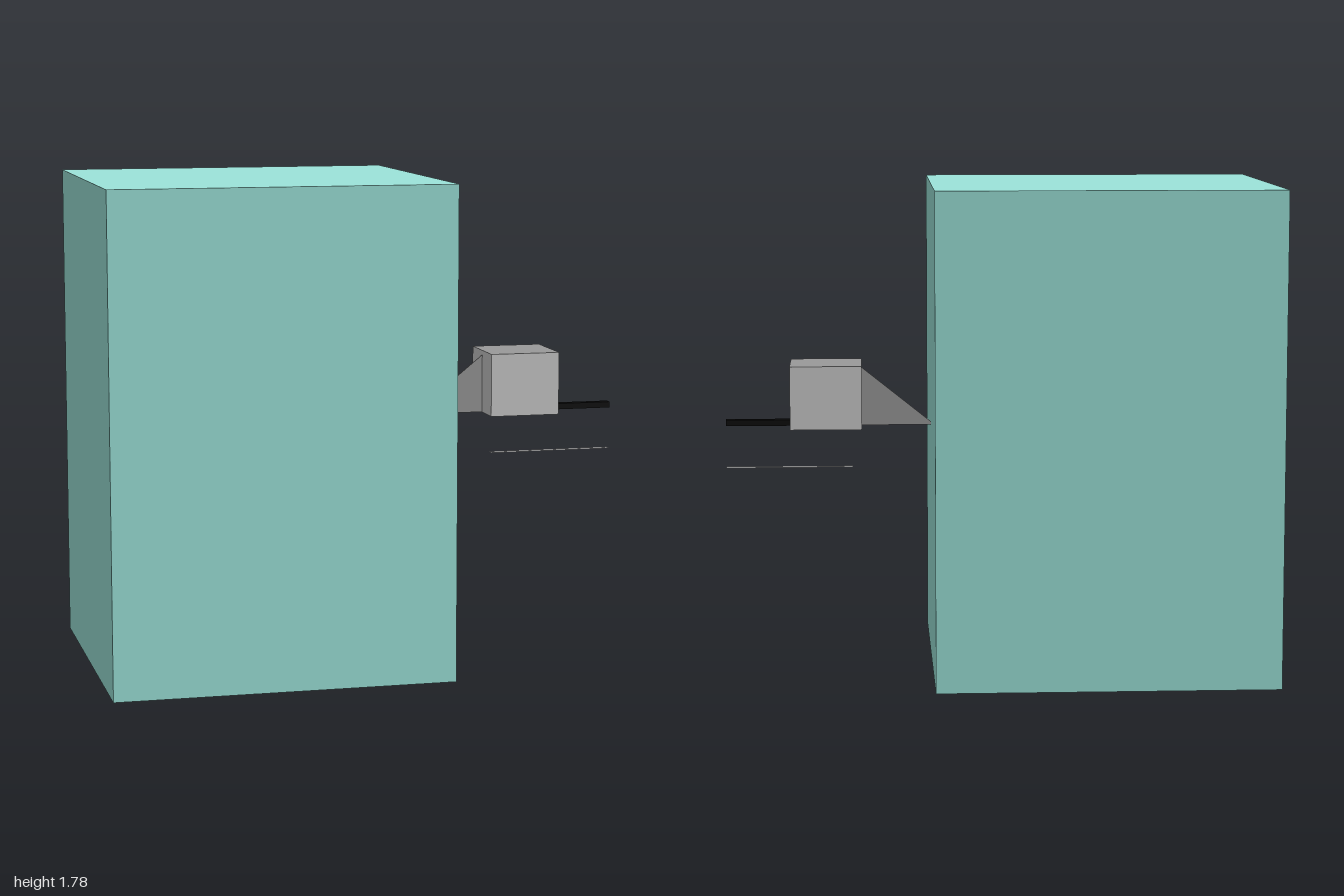
import * as THREE from 'three';

const GREY = 0xcccccc, DARK_GREY = 0x9a9a9a, TEAL = 0x9ce4da, BLACK = 0x0b0b0b;

const mat = (color, side = THREE.FrontSide) => new THREE.MeshStandardMaterial({ color, side });

// Box given by its lower and upper corners
function box(name, [x0, y0, z0], [x1, y1, z1], material) {
  const mesh = new THREE.Mesh(new THREE.BoxGeometry(x1 - x0, y1 - y0, z1 - z0), material);
  mesh.position.set((x0 + x1) / 2, (y0 + y1) / 2, (z0 + z1) / 2);
  mesh.name = name;
  return mesh;
}

export function createModel() {
  const model = new THREE.Group();

  // Large upright block
  model.add(box('body', [-1, 0, -0.577], [0.24, 1.785, 0.577], mat(TEAL)));

  // Small housing with a darker top face (fourth-from-last material slot is +y)
  const side = mat(GREY), top = mat(DARK_GREY);
  model.add(box('housing', [0.497, 0.886, -0.126], [0.76, 1.12, 0.126],
    [side, side, top, side, side, side]));

  // Thin triangular bracket joining the housing to the body
  const triangle = new THREE.Shape([
    new THREE.Vector2(0.24, 0.886),
    new THREE.Vector2(0.5, 0.886),
    new THREE.Vector2(0.5, 1.105),
    new THREE.Vector2(0.24, 0.897),
  ]);
  const bracket = new THREE.Mesh(
    new THREE.ExtrudeGeometry(triangle, { depth: 0.005, bevelEnabled: false }), mat(DARK_GREY));
  bracket.position.z = -0.0025;
  bracket.name = 'bracket';
  model.add(bracket);

  // Black rod out of the housing
  model.add(box('rod', [0.76, 0.887, -0.016], [1, 0.909, 0.016], mat(BLACK)));

  // Flat strip floating below the rod
  const strip = new THREE.Mesh(new THREE.PlaneGeometry(0.47, 0.03), mat(GREY, THREE.DoubleSide));
  strip.rotation.x = -Math.PI / 2;
  strip.position.set(0.765, 0.73, 0);
  strip.name = 'strip';
  model.add(strip);

  return model;
}
